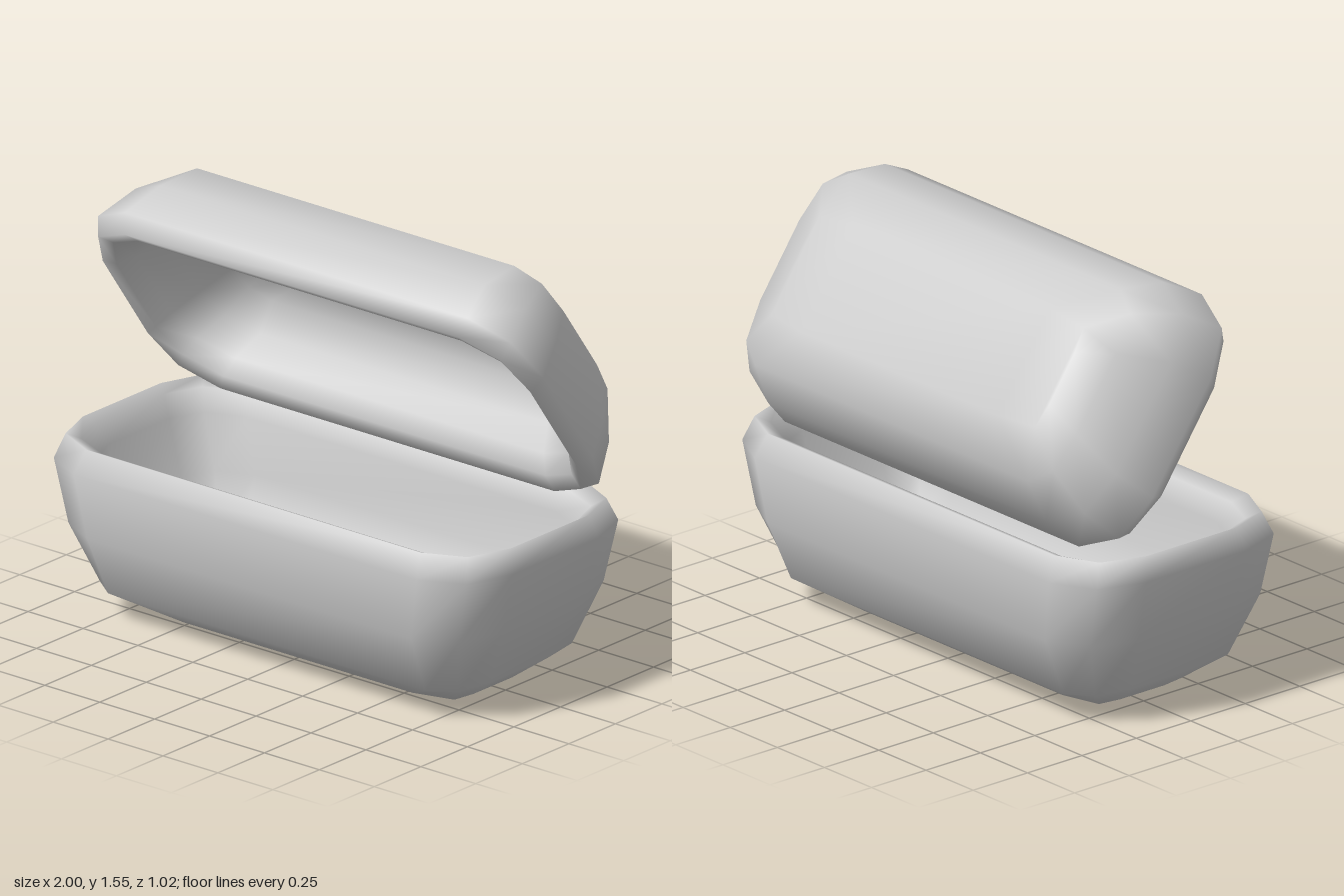
import * as THREE from 'three';

// Corner outlines, as fractions of half length and half depth
const ROUND = [[1, 0.47], [0.94, 0.834], [0.78, 1]];
const SQUARE = [[1, 0.42], [0.97, 0.82], [0.86, 1]];
const FLOOR = [[1, 0.5], [0.98, 0.93], [0.73, 1]];

// Closed plan outline from one corner, mirrored to all four
const outline = (corner) => [
  ...corner,
  ...corner.map(([x, z]) => [-x, z]).reverse(),
  ...corner.map(([x, z]) => [-x, -z]),
  ...corner.map(([x, z]) => [x, -z]).reverse(),
];

// Hollow tray from rings [y, half length, half depth, corner, lift of the ends],
// listed from the outer floor up, over the lip and down to the inner floor
function trayGeometry(rings) {
  const n = 12;
  const positions = [];
  const index = [];
  for (const [y, hx, hz, corner = ROUND, lift = 0] of rings) {
    for (const [fx, fz] of outline(corner)) {
      positions.push(fx * hx, y + (Math.abs(fx) > 0.9 ? lift : 0), fz * hz);
    }
  }
  for (let i = 0; i < rings.length - 1; i++) {
    for (let j = 0; j < n; j++) {
      const k = (j + 1) % n;
      const a = i * n + j, b = i * n + k, c = a + n, d = b + n;
      index.push(a, c, b, b, c, d);
    }
  }
  // Outer and inner floors, in strips from front to back
  const top = (rings.length - 1) * n;
  for (let j = 0; j < n / 2 - 1; j++) {
    const a = j, b = j + 1, c = n - 2 - j, d = n - 1 - j;
    index.push(a, b, c, a, c, d);
    index.push(top + a, top + c, top + b, top + a, top + d, top + c);
  }
  const geometry = new THREE.BufferGeometry();
  geometry.setAttribute('position', new THREE.Float32BufferAttribute(positions, 3));
  geometry.setIndex(index);
  geometry.computeVertexNormals();
  return geometry;
}

export function createModel() {
  const model = new THREE.Group();
  model.name = 'openCase';
  const material = new THREE.MeshStandardMaterial({ color: 0xcccccc });

  // Deep lower tray, rim at local y = 0
  const base = new THREE.Mesh(trayGeometry([
    [-0.655, 0.714, 0.203, FLOOR, 0.015],
    [-0.547, 0.84, 0.372, SQUARE],
    [-0.32, 0.945, 0.467],
    [-0.085, 1, 0.488],
    [0, 0.975, 0.445],
    [-0.025, 0.94, 0.39],
    [-0.1, 0.9, 0.35],
    [-0.3, 0.84, 0.335],
    [-0.47, 0.74, 0.26, SQUARE],
    [-0.55, 0.63, 0.14, FLOOR, 0.015],
  ]), material);
  base.name = 'base';
  base.position.set(0, 0.655, 0.026);

  // Shallower lid, swung open over the back edge
  const lid = new THREE.Mesh(trayGeometry([
    [-0.443, 0.714, 0.206, FLOOR, 0.012],
    [-0.371, 0.84, 0.371, SQUARE],
    [-0.216, 0.945, 0.463],
    [-0.06, 1, 0.488],
    [0, 0.975, 0.445],
    [-0.02, 0.94, 0.39],
    [-0.08, 0.9, 0.35],
    [-0.19, 0.84, 0.33],
    [-0.29, 0.74, 0.26, SQUARE],
    [-0.345, 0.63, 0.14, FLOOR, 0.012],
  ]), material);
  lid.name = 'lid';
  lid.position.set(0, 1.0325, 0.0075);
  lid.rotation.x = 2.188;

  model.add(base, lid);
  return model;
}
